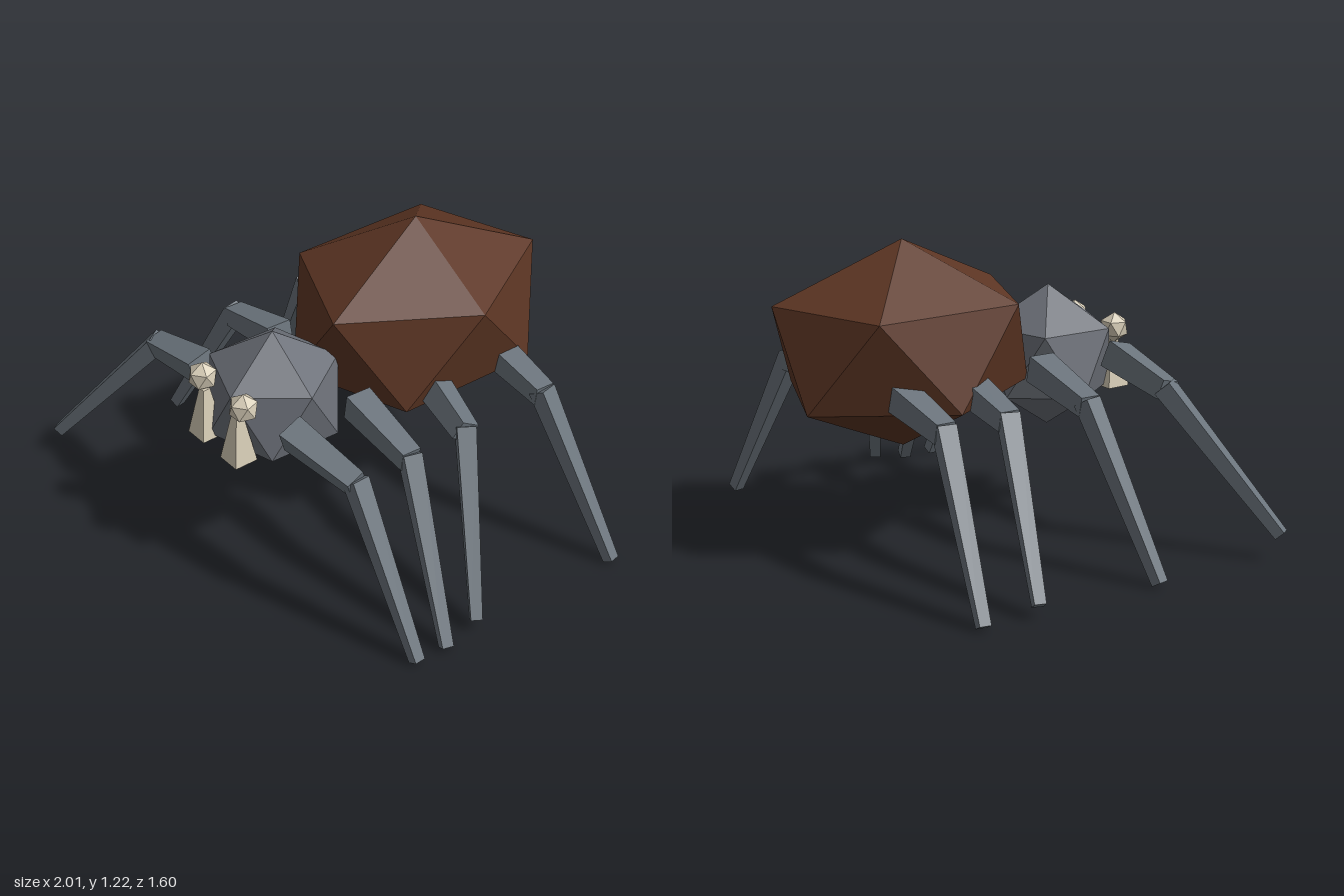
import * as THREE from 'three';

const material = (name, color) => {
  const m = new THREE.MeshStandardMaterial({ color, flatShading: true });
  m.name = name;
  return m;
};

export function createModel() {
  const brown = material('abdomen brown', 0x5c3523);
  const grey = material('head grey', 0x6c7078);
  const legGrey = material('leg grey', 0x6b747c);
  const bone = material('bone', 0xd6ccb6);
  const model = new THREE.Group();
  model.name = 'spider';

  const add = (parent, name, geometry, mat) => {
    const mesh = new THREE.Mesh(geometry, mat);
    mesh.name = name;
    parent.add(mesh);
    return mesh;
  };

  // Icosahedron standing on a corner, turned slightly about y and stretched
  const gem = (rx, ry, rz, turn) =>
    new THREE.IcosahedronGeometry(1, 0)
      .rotateX(-Math.atan((1 + Math.sqrt(5)) / 2))
      .rotateY(Math.PI / 2 - turn)
      .scale(rx, ry, rz);

  // Tapered square beam between two points
  const beam = (a, b, w0, w1, roll = 0) => {
    const dir = b.clone().sub(a);
    const length = dir.length();
    dir.normalize();
    const side = dir.clone().cross(new THREE.Vector3(0, 1, 0)).normalize();
    const third = side.clone().cross(dir);
    const g = new THREE.CylinderGeometry(w1 * Math.SQRT1_2, w0 * Math.SQRT1_2, length, 4);
    g.rotateY(Math.PI / 4 + roll);
    g.applyMatrix4(new THREE.Matrix4().makeBasis(side, dir, third));
    const mid = a.clone().add(b).multiplyScalar(0.5);
    return g.translate(mid.x, mid.y, mid.z);
  };

  // Body
  add(model, 'abdomen', gem(0.481, 0.41, 0.583, 0.026), brown).position.set(0.025, 0.82, -0.3);
  add(model, 'head', gem(0.29, 0.29, 0.29, 0.045), grey).position.set(0, 0.68, 0.377);

  // Eyes and fangs
  for (const [side, eyeX, fangX] of [['left', 0.122, 0.097], ['right', -0.14, -0.113]]) {
    add(model, side + 'Eye', gem(0.06, 0.062, 0.06, 0.3), bone).position.set(eyeX, 0.787, 0.607);
    const fang = new THREE.CylinderGeometry(0.03 * Math.SQRT1_2, 0.1 * Math.SQRT1_2, 0.21, 4);
    fang.rotateY(Math.PI / 4);
    add(model, side + 'Fang', fang, bone).position.set(fangX, 0.645, 0.618);
  }

  // Legs: hip, knee, foot, roll of the upper segment
  const legs = [
    ['leftFrontLeg', [0.265, 0.7, 0.49], [0.605, 0.645, 0.45], [0.95, 0.02, 0.44], 0.37],
    ['leftSecondLeg', [0.265, 0.7, 0.18], [0.61, 0.645, 0.2], [0.96, 0.02, 0.305], 0],
    ['leftThirdLeg', [0.265, 0.7, -0.15], [0.61, 0.645, -0.07], [0.945, 0.055, 0.145], -0.5],
    ['leftBackLeg', [0.265, 0.7, -0.48], [0.62, 0.65, -0.46], [0.98, 0.02, -0.53], 0],
    ['rightFrontLeg', [-0.265, 0.715, 0.515], [-0.6, 0.645, 0.51], [-0.98, 0.115, 0.775], -0.25],
    ['rightSecondLeg', [-0.25, 0.715, 0.155], [-0.585, 0.64, 0.14], [-0.94, 0.025, 0.21], 0],
    ['rightThirdLeg', [-0.25, 0.71, -0.2], [-0.57, 0.64, -0.22], [-0.935, 0.06, -0.345], 0],
    ['rightBackLeg', [-0.25, 0.71, -0.495], [-0.565, 0.64, -0.5], [-0.91, 0.02, -0.57], 0],
  ];
  for (const [name, hip, knee, foot, roll] of legs) {
    const leg = new THREE.Group();
    leg.name = name;
    const [h, k, f] = [hip, knee, foot].map((p) => new THREE.Vector3(...p));
    add(leg, 'upperSegment', beam(h, k, 0.108, 0.08, roll), legGrey);
    // The lower segment starts a little above the knee so the joint overlaps
    const joint = k.clone().lerp(f, -0.03);
    add(leg, 'lowerSegment', beam(joint, f, 0.075, 0.045), legGrey);
    model.add(leg);
  }
  return model;
}
